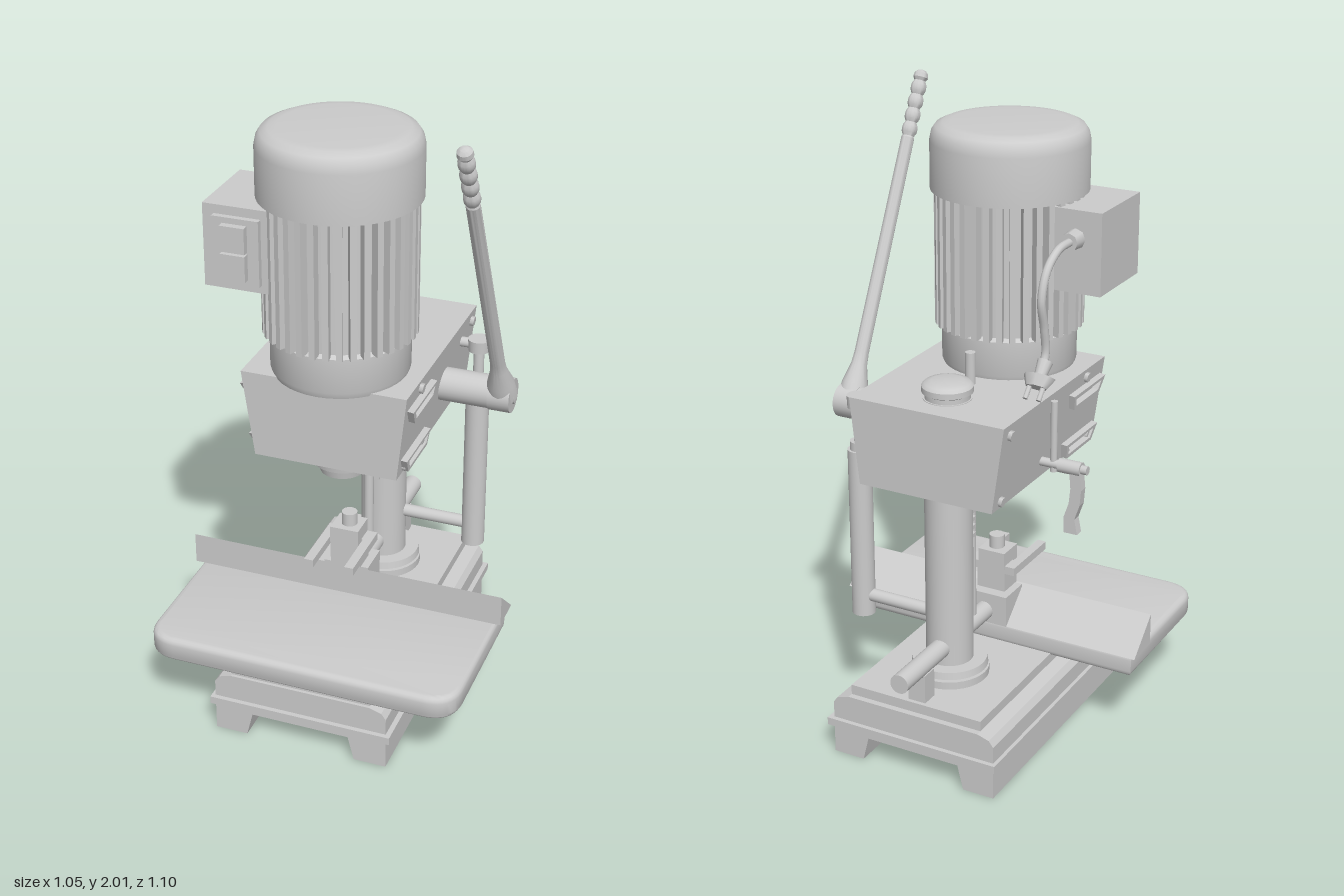
import * as THREE from 'three';
import { toCreasedNormals } from 'three/addons/utils/BufferGeometryUtils.js';

const material = new THREE.MeshStandardMaterial({ color: 0xcccccc });
const V = (x, y, z) => new THREE.Vector3(x, y, z);

export function createModel() {
  const model = new THREE.Group();

  const add = (name, geometry, x = 0, y = 0, z = 0, parent = model) => {
    const mesh = new THREE.Mesh(geometry, material);
    mesh.name = name;
    mesh.position.set(x, y, z);
    parent.add(mesh);
    return mesh;
  };
  // box given by its limits on each axis
  const box = (name, x0, x1, y0, y1, z0, z1, parent) =>
    add(name, new THREE.BoxGeometry(x1 - x0, y1 - y0, z1 - z0),
      (x0 + x1) / 2, (y0 + y1) / 2, (z0 + z1) / 2, parent);
  // cylinder between two points
  const rod = (name, a, b, r0, r1 = r0, sides = 28, parent = model) => {
    const d = b.clone().sub(a), m = a.clone().add(b).multiplyScalar(0.5);
    const mesh = add(name, new THREE.CylinderGeometry(r1, r0, d.length(), sides), m.x, m.y, m.z, parent);
    mesh.quaternion.setFromUnitVectors(V(0, 1, 0), d.normalize());
    return mesh;
  };
  const upright = (name, x, z, y0, y1, r0, r1, sides) =>
    rod(name, V(x, y0, z), V(x, y1, z), r0, r1, sides);
  const outline = pts => new THREE.Shape(pts.map(p => new THREE.Vector2(...p)));
  // front outline pushed along z
  const prism = (name, pts, z0, z1) =>
    add(name, new THREE.ExtrudeGeometry(outline(pts), { depth: z1 - z0, bevelEnabled: false }), 0, 0, z0);
  const lathe = (pts, sides = 40) =>
    toCreasedNormals(new THREE.LatheGeometry(pts.map(p => new THREE.Vector2(...p)), sides), 0.6);

  // Base: channelled casting, rim and top slab
  prism('base', [[-0.28, 0], [-0.175, 0], [-0.155, 0.08], [0.165, 0.08], [0.185, 0], [0.29, 0],
    [0.29, 0.18], [0.275, 0.2], [0.235, 0.212], [-0.225, 0.212], [-0.265, 0.2], [-0.28, 0.18]], -0.48, 0.525);
  for (const [x0, x1] of [[-0.292, -0.27], [0.28, 0.306]]) box('baseRim', x0, x1, 0.1, 0.125, -0.495, 0.54);
  for (const [z0, z1] of [[-0.495, -0.47], [0.515, 0.54]]) box('baseRim', -0.292, 0.306, 0.1, 0.125, z0, z1);
  box('baseSlab', -0.225, 0.235, 0.2, 0.245, -0.46, 0.515);

  // Work table with rounded front corners
  const t = new THREE.Shape(), b = 0.02, w = 0.51 - b, zf = 0.548 - b, r = 0.08;
  t.moveTo(-w, -0.03);
  t.lineTo(-w, -(zf - r));
  t.quadraticCurveTo(-w, -zf, -w + r, -zf);
  t.lineTo(w - r, -zf);
  t.quadraticCurveTo(w, -zf, w, -(zf - r));
  t.lineTo(w, -0.03);
  const tableGeo = new THREE.ExtrudeGeometry(t, {
    depth: 0.04, bevelSize: b, bevelThickness: b, bevelSegments: 4, curveSegments: 10 });
  tableGeo.rotateX(-Math.PI / 2);
  add('workTable', toCreasedNormals(tableGeo, 0.7), 0, 0.255, 0);

  // Fence: upright front, sloping back
  const fence = new THREE.ExtrudeGeometry(outline([[-0.11, 0.315], [0.01, 0.315], [-0.11, 0.42]]),
    { depth: 1.055, bevelEnabled: false });
  fence.rotateY(Math.PI / 2);
  add('fence', fence, -0.53, 0, 0);

  // Work clamp
  box('clampBlock', -0.075, 0.075, 0.315, 0.42, -0.012, 0.1);
  box('clampPost', -0.05, 0.05, 0.42, 0.5, 0.025, 0.108);
  box('clampHead', -0.05, 0.045, 0.5, 0.557, 0.022, 0.112);
  box('clampBridge', -0.085, 0.08, 0.485, 0.512, 0.025, 0.08);
  for (const x of [-0.07, 0.065]) box('clampProng', x - 0.015, x + 0.015, 0.485, 0.512, 0.025, 0.25);
  upright('clampScrew', 0, 0.067, 0.55, 0.6, 0.025);

  // Slide tube and its rear post
  rod('slideTube', V(0.005, 0.357, -0.01), V(0.005, 0.357, -0.55), 0.031);
  box('slidePost', -0.025, 0.035, 0.24, 0.34, -0.447, -0.39);

  // Column, flange and cap
  const cx = 0.01, cz = -0.23;
  upright('column', cx, cz, 0.24, 1.18, 0.075, 0.075, 36);
  upright('columnFlange', cx, cz, 0.245, 0.27, 0.125, 0.125, 36);
  upright('columnCollar', cx, cz, 0.277, 0.3, 0.122, 0.118, 36);
  upright('columnNeck', cx, cz, 0.26, 0.285, 0.105, 0.105, 36);
  add('columnCap', lathe([[0, 0.055], [0.05, 0.053], [0.07, 0.048], [0.079, 0.038], [0.079, 0.02], [0.07, 0.015], [0.07, 0]].reverse()), cx, 1.18, cz);
  // Rack on the column and depth rod
  box('rackBar', -0.012, 0.022, 0.6, 0.9, -0.165, -0.146);
  for (let i = 0; i < 8; i++) {
    const y = 0.685 + i * 0.028;
    box('rackTooth', -0.03, 0.04, y, y + 0.013, -0.155, -0.13);
  }
  upright('depthRod', 0.005, -0.098, 0.38, 1.28, 0.016, 0.016, 16);

  // Head casing
  prism('headCasing', [[-0.215, 0.9], [0.24, 0.9], [0.27, 1.178], [-0.255, 1.178]], -0.37, 0.31);
  // Raised frames and bolts on both sloping sides
  for (const s of [1, -1]) {
    const side = new THREE.Group();
    side.name = s > 0 ? 'leftPanel' : 'rightPanel';
    side.position.set(s > 0 ? 0.24 : -0.215, 0.9, 0);
    side.rotation.z = s > 0 ? -0.108 : 0.143;
    model.add(side);
    for (const y of [0.18, 0.01]) {
      const frame = outline([[-0.29, y + 0.05], [-0.26, y], [-0.085, y], [-0.07, y + 0.05]]);
      frame.holes.push(outline([[-0.265, y + 0.04], [-0.25, y + 0.012], [-0.095, y + 0.012], [-0.085, y + 0.04]]));
      const g = new THREE.ExtrudeGeometry(frame, { depth: 0.02, bevelEnabled: false });
      g.rotateY(Math.PI / 2);
      add('sideFrame', g, s > 0 ? 0 : -0.02, 0, 0, side);
    }
    for (const [z, y] of [[0.18, 0.255], [0.255, 0.025], [0.1, 0.025], [-0.325, 0.245], [-0.325, 0.025]])
      rod('sideBolt', V(0, y, z), V(s * 0.012, y, z), 0.016, 0.016, 6, side);
  }

  // Spindle nose below the casing
  upright('spindleFlange', 0.005, 0.13, 0.865, 0.905, 0.115, 0.12, 36);
  upright('spindleCollar', 0.005, 0.135, 0.835, 0.87, 0.095, 0.1, 36);
  upright('spindleNose', 0.005, 0.14, 0.803, 0.84, 0.07, 0.078, 36);

  // Motor: neck, finned body and domed cover
  const motor = new THREE.Group();
  motor.name = 'motor';
  motor.position.set(0.01, 0, 0.165);
  model.add(motor);
  add('motorBody', lathe([[0, 1.17], [0.205, 1.17], [0.212, 1.19], [0.212, 1.3], [0.2, 1.31], [0.2, 1.75], [0, 1.75]]), 0, 0, 0, motor);
  add('motorCover', lathe([[0, 1.73], [0.245, 1.73], [0.245, 1.88], [0.24, 1.905], [0.228, 1.923],
    [0.205, 1.933], [0.18, 1.935], [0, 1.935]], 48), 0, 0, 0, motor);
  const fin = new THREE.BoxGeometry(0.019, 0.43, 0.045);
  for (let i = 0; i < 36; i++) {
    const a = i * Math.PI / 18;
    add('motorFin', fin, Math.sin(a) * 0.211, 1.52, Math.cos(a) * 0.211, motor).rotation.y = a;
  }

  // Switch box
  box('switchBox', -0.345, -0.14, 1.46, 1.718, 0.07, 0.34);
  box('switchPlate', -0.31, -0.165, 1.485, 1.69, 0.335, 0.358);
  for (const y of [1.505, 1.592]) box('switchButton', -0.277, -0.2, y, y + 0.08, 0.35, 0.38);

  // Cable with gland and plug
  rod('cableGland', V(-0.26, 1.63, 0.07), V(-0.26, 1.63, 0.025), 0.032, 0.028, 8);
  const cable = new THREE.CatmullRomCurve3([V(-0.26, 1.63, 0.04), V(-0.26, 1.625, -0.05), V(-0.26, 1.58, -0.12),
    V(-0.26, 1.5, -0.15), V(-0.26, 1.41, -0.13), V(-0.26, 1.33, -0.12), V(-0.26, 1.28, -0.145)]);
  add('cable', new THREE.TubeGeometry(cable, 40, 0.013, 10));
  const plug = new THREE.Group();
  plug.name = 'plug';
  plug.position.set(-0.26, 1.29, -0.135);
  plug.rotation.x = 0.75;
  model.add(plug);
  rod('plugNeck', V(0, 0.02, 0), V(0, -0.03, 0), 0.024, 0.018, 12, plug);
  rod('plugBody', V(0, -0.03, 0), V(0, -0.065, 0), 0.053, 0.035, 8, plug).scale.z = 0.6;
  for (const x of [-0.022, 0.022]) rod('plugPin', V(x, -0.06, 0), V(x, -0.105, 0), 0.008, 0.008, 8, plug);

  // Depth stop crank on the right side
  upright('crankRail', -0.265, -0.065, 0.93, 1.16, 0.011, 0.011, 12);
  rod('crankShaft', V(-0.2, 0.955, -0.065), V(-0.3, 0.955, -0.065), 0.014);
  rod('crankHub', V(-0.285, 0.955, -0.065), V(-0.36, 0.955, -0.065), 0.022);
  rod('crankTip', V(-0.355, 0.955, -0.065), V(-0.38, 0.955, -0.065), 0.014);
  prism('crankHandle', [[-0.36, 0.95], [-0.366, 0.89], [-0.362, 0.84], [-0.345, 0.79], [-0.355, 0.74],
    [-0.31, 0.74], [-0.308, 0.79], [-0.325, 0.84], [-0.33, 0.89], [-0.325, 0.95]], -0.08, -0.05);

  // Feed lever on the left side
  rod('leverShaft', V(0.23, 1.032, -0.09), V(0.42, 1.032, -0.09), 0.053);
  rod('leverBoss', V(0.41, 1.032, -0.088), V(0.48, 1.032, -0.088), 0.055);
  rod('leverBolt', V(0.475, 1.032, -0.088), V(0.488, 1.032, -0.088), 0.025, 0.025, 6);
  const profile = [[0, 0], [0.048, 0], [0.042, 0.06], [0.026, 0.12], [0.023, 0.16], [0.021, 0.86]];
  for (let i = 0; i < 4; i++) {
    const y = 0.865 + i * 0.045;
    profile.push([0.018, y], [0.024, y + 0.012], [0.025, y + 0.022], [0.024, y + 0.033]);
  }
  profile.push([0.018, 1.045], [0.024, 1.055], [0.022, 1.069], [0.013, 1.078], [0, 1.081]);
  add('feedLever', lathe(profile, 20), 0.445, 1.032, -0.088).rotation.x = 0.455;

  // Return strut beside the column
  const sx = 0.322, sz = -0.238;
  upright('strutCylinder', sx, sz, 0.38, 0.95, 0.038);
  upright('strutCollar', sx, sz, 0.95, 0.978, 0.03);
  upright('strutRod', sx, sz, 0.97, 1.1, 0.017);
  upright('strutCap', sx, sz, 1.09, 1.13, 0.034, 0.036);
  rod('strutPin', V(0.24, 1.11, sz), V(sx, 1.11, sz), 0.016);
  rod('strutBracket', V(0.05, 0.447, sz), V(sx, 0.447, sz), 0.021);

  return model;
}
